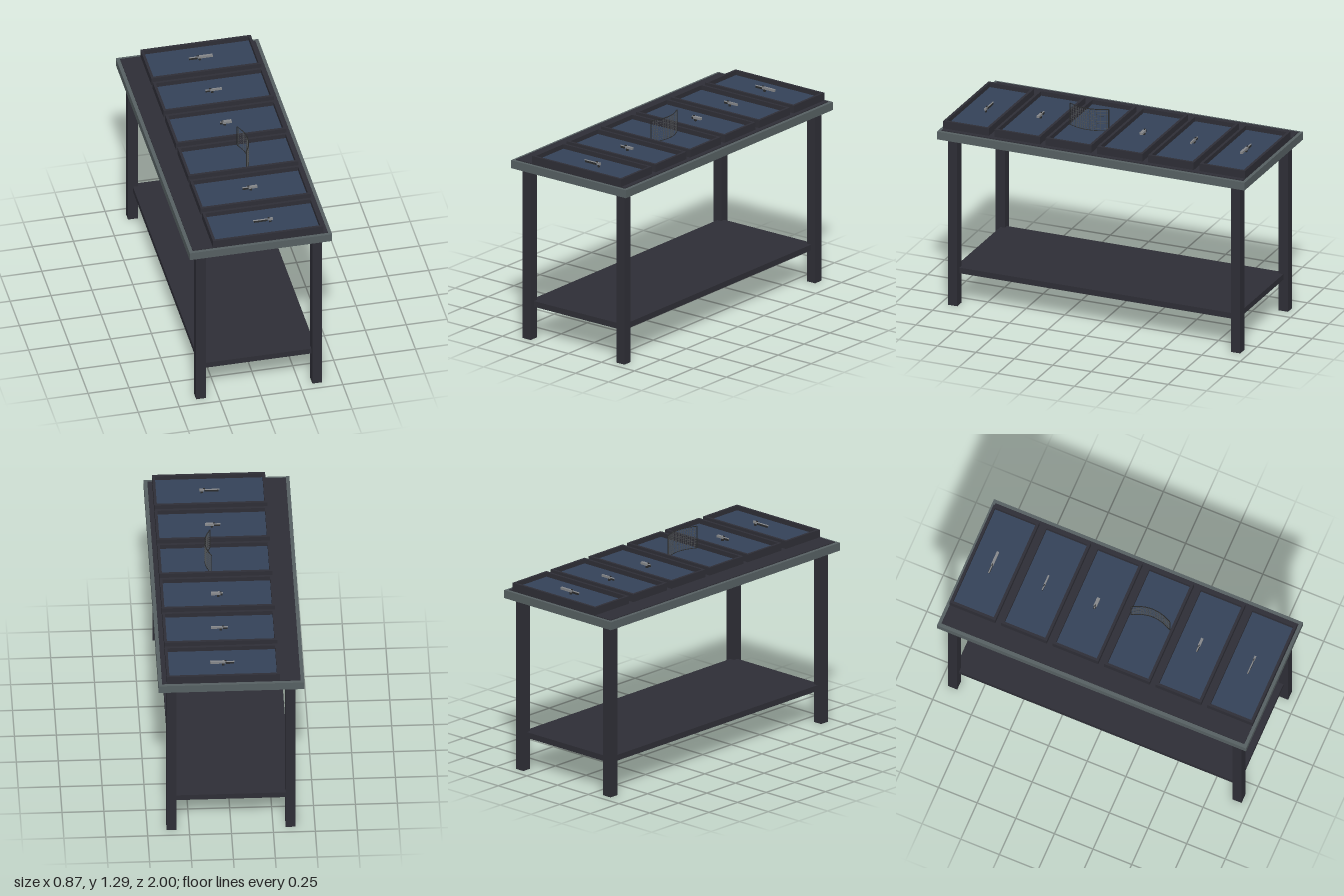
import * as THREE from 'three';

const mat = (name, color) => {
  const m = new THREE.MeshStandardMaterial({ color });
  m.name = name;
  return m;
};

export function createModel() {
  const root = new THREE.Group();
  root.name = 'displayTable';
  const frame = mat('darkFrame', 0x2e2e36);
  const slab = mat('greySlab', 0x566062);
  const felt = mat('blueFelt', 0x344258);
  const steel = mat('steel', 0x85878a);
  const iron = mat('darkIron', 0x2a2b2c);
  const wire = mat('wire', 0x505354);

  const add = (parent, name, geo, m, x = 0, y = 0, z = 0) => {
    const mesh = new THREE.Mesh(geo, m);
    mesh.name = name;
    mesh.position.set(x, y, z);
    parent.add(mesh);
    return mesh;
  };
  const box = (parent, name, m, w, h, d, x, y, z) =>
    add(parent, name, new THREE.BoxGeometry(w, h, d), m, x, y, z);
  const rod = (parent, name, m, r, len, x, y, z) => {
    const g = new THREE.CylinderGeometry(r, r, len, 10);
    g.rotateZ(Math.PI / 2);
    return add(parent, name, g, m, x, y, z);
  };

  // Table: slab, dark inlay, legs and lower shelf
  box(root, 'tableTop', slab, 0.87, 0.05, 2, 0, 1.102, 0);
  box(root, 'topInlay', frame, 0.826, 0.006, 1.96, 0, 1.129, 0);
  for (const sx of [-1, 1]) for (const sz of [-1, 1])
    box(root, 'leg', frame, 0.06, 1.08, 0.06, sx * 0.355, 0.54, sz * 0.92);
  box(root, 'shelf', frame, 0.71, 0.036, 1.84, 0, 0.22, 0);

  // Tray rim with an open middle
  const rect = (s, w, d) => {
    s.moveTo(-w, -d); s.lineTo(w, -d); s.lineTo(w, d); s.lineTo(-w, d); s.closePath();
    return s;
  };
  const rim = rect(new THREE.Shape(), 0.337, 0.148);
  rim.holes.push(rect(new THREE.Path(), 0.321, 0.132));
  const rimGeo = new THREE.ExtrudeGeometry(rim, { depth: 0.05, bevelEnabled: false });
  rimGeo.rotateX(-Math.PI / 2);

  const trays = [];
  for (let i = 0; i < 6; i++) {
    const tray = new THREE.Group();
    tray.name = 'tray' + (i + 1);
    tray.position.set(0, 1.13, -0.833 + i * 0.3332);
    add(tray, 'trayRim', rimGeo, frame, 0.048, 0, 0);
    box(tray, 'trayLining', felt, 0.642, 0.02, 0.264, 0.048, 0.012, 0);
    root.add(tray);
    trays.push(tray);
  }

  // Small tools: dark handle at -x, steel body and rod toward +x
  const tool = (tray, x0, x1, split, width, z) => {
    const g = new THREE.Group();
    g.name = 'tool';
    g.position.set(0, 0.022, z);
    box(g, 'toolBody', steel, x1 - split, 0.014, width, (x1 + split) / 2, 0.022, 0);
    rod(g, 'toolRod', steel, 0.004, x1 - x0, (x0 + x1) / 2, 0.024, 0);
    box(g, 'toolHandle', iron, (split - x0) * 0.9, 0.012, width * 0.7, (x0 + split) / 2, 0.017, 0);
    box(g, 'toolGrip', iron, 0.013, 0.018, width * 0.7, split + 0.012, 0.009, 0);
    box(g, 'toolSight', iron, 0.012, 0.006, 0.005, split, 0.031, 0);
    tray.add(g);
  };
  tool(trays[0], -0.025, 0.12, 0.03, 0.015, -0.007);
  tool(trays[1], 0.0, 0.1, 0.03, 0.009, -0.004);
  tool(trays[2], 0.015, 0.085, 0.03, 0.02, -0.007);
  tool(trays[4], 0.0, 0.09, 0.038, 0.015, -0.005);
  tool(trays[5], -0.01, 0.11, 0.083, 0.011, -0.003);

  // Curved wire screen, bulging toward +x
  const screen = new THREE.Group();
  screen.name = 'wireScreen';
  root.add(screen);
  const at = (t) => new THREE.Vector3(0.107 - 0.036 * (2 * t - 1) ** 2, 0, 0.042 + 0.252 * t);
  const path = new THREE.CatmullRomCurve3([0, 0.25, 0.5, 0.75, 1].map(at));
  const rail = (name, r, y, m) => add(screen, name, new THREE.TubeGeometry(path, 20, r, 4), m, 0, y, 0);
  const y0 = 1.153, y1 = 1.29, rows = 9, cols = 18;
  for (let i = 1; i < rows; i++) rail('crossWire', 0.001, y0 + (y1 - y0) * i / rows, wire);
  rail('bottomRail', 0.003, y0, iron);
  rail('topRail', 0.003, y1, iron);
  for (let i = 0; i <= cols; i++) {
    const p = at(i / cols), end = i === 0 || i === cols;
    const w = end ? 0.005 : 0.002;
    box(screen, end ? 'endPost' : 'uprightWire', end ? iron : wire, w, y1 - y0, w, p.x, (y0 + y1) / 2, p.z);
  }
  return root;
}
